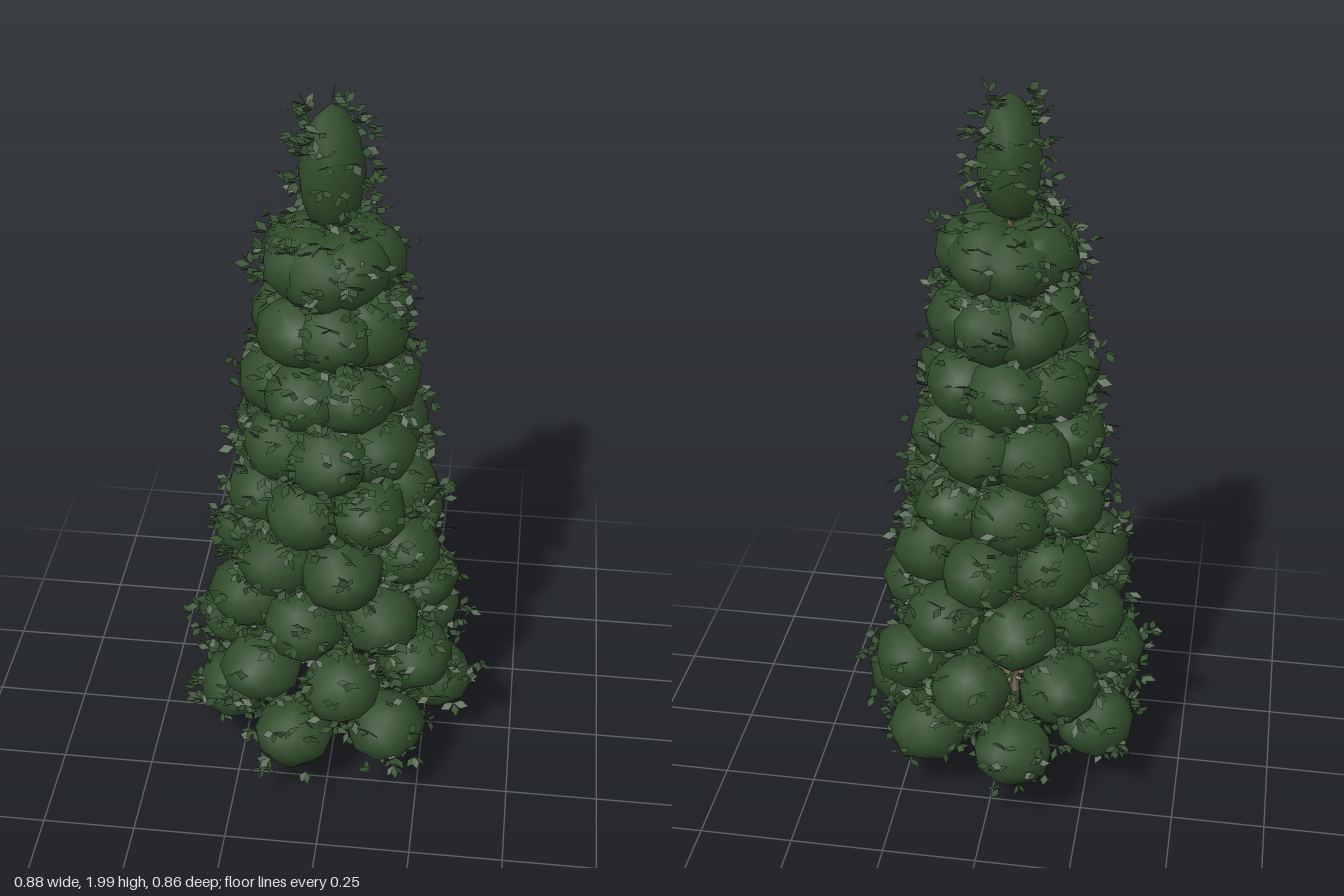
import * as THREE from 'three';
import { mergeVertices } from 'three/addons/utils/BufferGeometryUtils.js';

// Seeded random numbers in 0..1
function seeded(seed) {
  return () => {
    seed = (seed + 0x6d2b79f5) | 0;
    let t = Math.imul(seed ^ (seed >>> 15), 1 | seed);
    t = (t + Math.imul(t ^ (t >>> 7), 61 | t)) ^ t;
    return ((t ^ (t >>> 14)) >>> 0) / 4294967296;
  };
}

export function createModel() {
  const rand = seeded(17);
  const range = (a, b) => a + (b - a) * rand();
  const foliage = new THREE.MeshStandardMaterial({ color: 0x304b2a });
  foliage.name = 'foliageGreen';
  const leafGreen = new THREE.MeshStandardMaterial({ color: 0x344f2f, side: THREE.DoubleSide });
  leafGreen.name = 'leafGreen';
  const bark = new THREE.MeshStandardMaterial({ color: 0x85735d });
  bark.name = 'barkBrown';

  const tree = new THREE.Group();
  tree.name = 'coniferTree';
  const axis = new THREE.Vector3(-0.013, 0, 0.006);

  function add(parent, name, geometry, material) {
    const mesh = new THREE.Mesh(geometry, material);
    mesh.name = name;
    parent.add(mesh);
    return mesh;
  }

  // Fluted trunk, tapering upwards
  const trunkGeo = new THREE.CylinderGeometry(0.008, 0.028, 1.7, 40, 1);
  const tp = trunkGeo.attributes.position;
  for (let i = 0; i < tp.count; i++) {
    const a = Math.atan2(tp.getZ(i), tp.getX(i));
    const k = 1 + 0.08 * Math.cos(a * 10);
    tp.setX(i, tp.getX(i) * k);
    tp.setZ(i, tp.getZ(i) * k);
  }
  trunkGeo.computeVertexNormals();
  add(tree, 'trunk', trunkGeo, bark).position.set(axis.x, 0.85, axis.z);

  // Smooth-shaded, uneven low-poly clump, optionally narrowing upwards
  function clumpGeometry(lump, taper) {
    let g = new THREE.IcosahedronGeometry(1, 1);
    g.deleteAttribute('normal');
    g.deleteAttribute('uv');
    g = mergeVertices(g, 1e-3);
    const p = g.attributes.position;
    for (let i = 0; i < p.count; i++) {
      const k = 1 + range(-lump, lump);
      const w = k * (1 - taper * p.getY(i));
      p.setXYZ(i, p.getX(i) * w, p.getY(i) * k, p.getZ(i) * w);
    }
    g.computeVertexNormals();
    return g;
  }

  // Diamond leaves gathered into one surface
  const leafPoints = [];
  const up = new THREE.Vector3(0, 1, 0);
  function leaf(origin, dir, length, width) {
    const side = new THREE.Vector3().crossVectors(dir, up).normalize();
    side.applyAxisAngle(dir, range(-0.9, 0.9)).multiplyScalar(width / 2);
    const tip = origin.clone().addScaledVector(dir, length);
    const mid = origin.clone().addScaledVector(dir, length * 0.5);
    const l = mid.clone().sub(side), r = mid.clone().add(side);
    for (const v of [origin, r, tip, origin, tip, l]) leafPoints.push(v.x, v.y, v.z);
  }

  // Sprigs of three leaves scattered around a clump
  function sprigs(center, radii, count) {
    for (let i = 0; i < count; i++) {
      const d = new THREE.Vector3().setFromSphericalCoords(1, Math.acos(range(-1, 1)), range(0, 6.283));
      const origin = d.clone().multiply(radii).multiplyScalar(range(0.93, 1.25)).add(center);
      const heading = Math.atan2(d.z, d.x) + range(-1, 1);
      const pitch = d.y * 0.4 + range(-0.5, 0.5);
      for (let j = -1; j <= 1; j++) {
        const a = heading + j * range(0.7, 1.5);
        const dir = new THREE.Vector3(Math.cos(a), pitch + range(-0.4, 0.4), Math.sin(a)).normalize();
        leaf(origin, dir, range(0.03, 0.046), range(0.017, 0.026));
      }
    }
  }

  // Tiers of clumps: height, ring radius, clump count, first angle in degrees
  const tiers = [
    [0.21, 0.287, 7, -15], [0.375, 0.27, 7, 12], [0.55, 0.238, 7, -12],
    [0.71, 0.205, 7, 14], [0.875, 0.178, 7, -16], [1.04, 0.152, 7, 4],
    [1.205, 0.125, 7, -22], [1.37, 0.1, 7, 8], [1.535, 0.073, 7, -10],
  ];
  tiers.forEach(([y, ring, count, start], t) => {
    const tier = new THREE.Group();
    tier.name = `tier${t + 1}`;
    tree.add(tier);
    for (let i = 0; i < count; i++) {
      const a = THREE.MathUtils.degToRad(start + (360 / count) * i);
      const out = new THREE.Vector3(Math.sin(a), 0, Math.cos(a));
      const center = axis.clone().addScaledVector(out, ring * range(0.98, 1.02));
      center.y = y + range(-0.006, 0.006);
      const radii = new THREE.Vector3(0.108, 0.094, 0.108);
      const clump = add(tier, 'foliageClump', clumpGeometry(0.07, 0), foliage);
      clump.position.copy(center);
      clump.scale.copy(radii);
      clump.rotation.y = range(0, 6.28);
      sprigs(center, radii, 26);

      // Branch from the trunk to the clump
      const root = new THREE.Vector3(axis.x, y + 0.03, axis.z);
      const span = center.clone().sub(root);
      const branch = add(tier, 'branch', new THREE.CylinderGeometry(0.003, 0.006, span.length(), 6), bark);
      branch.position.copy(root).addScaledVector(span, 0.5);
      branch.quaternion.setFromUnitVectors(up, span.normalize());
    }
  });

  // Crown, narrowing to the top
  const crownCenter = new THREE.Vector3(axis.x, 1.775, axis.z);
  const crownRadii = new THREE.Vector3(0.082, 0.165, 0.082);
  const crown = add(tree, 'crown', clumpGeometry(0.05, 0.12), foliage);
  crown.position.copy(crownCenter);
  crown.scale.copy(crownRadii);
  sprigs(crownCenter, new THREE.Vector3(0.088, 0.155, 0.088), 70);
  leaf(new THREE.Vector3(axis.x, 1.94, axis.z), new THREE.Vector3(0.2, 1, 0.1).normalize(), 0.055, 0.02);

  const leafGeo = new THREE.BufferGeometry();
  leafGeo.setAttribute('position', new THREE.Float32BufferAttribute(leafPoints, 3));
  leafGeo.computeVertexNormals();
  add(tree, 'leaves', leafGeo, leafGreen);
  return tree;
}
